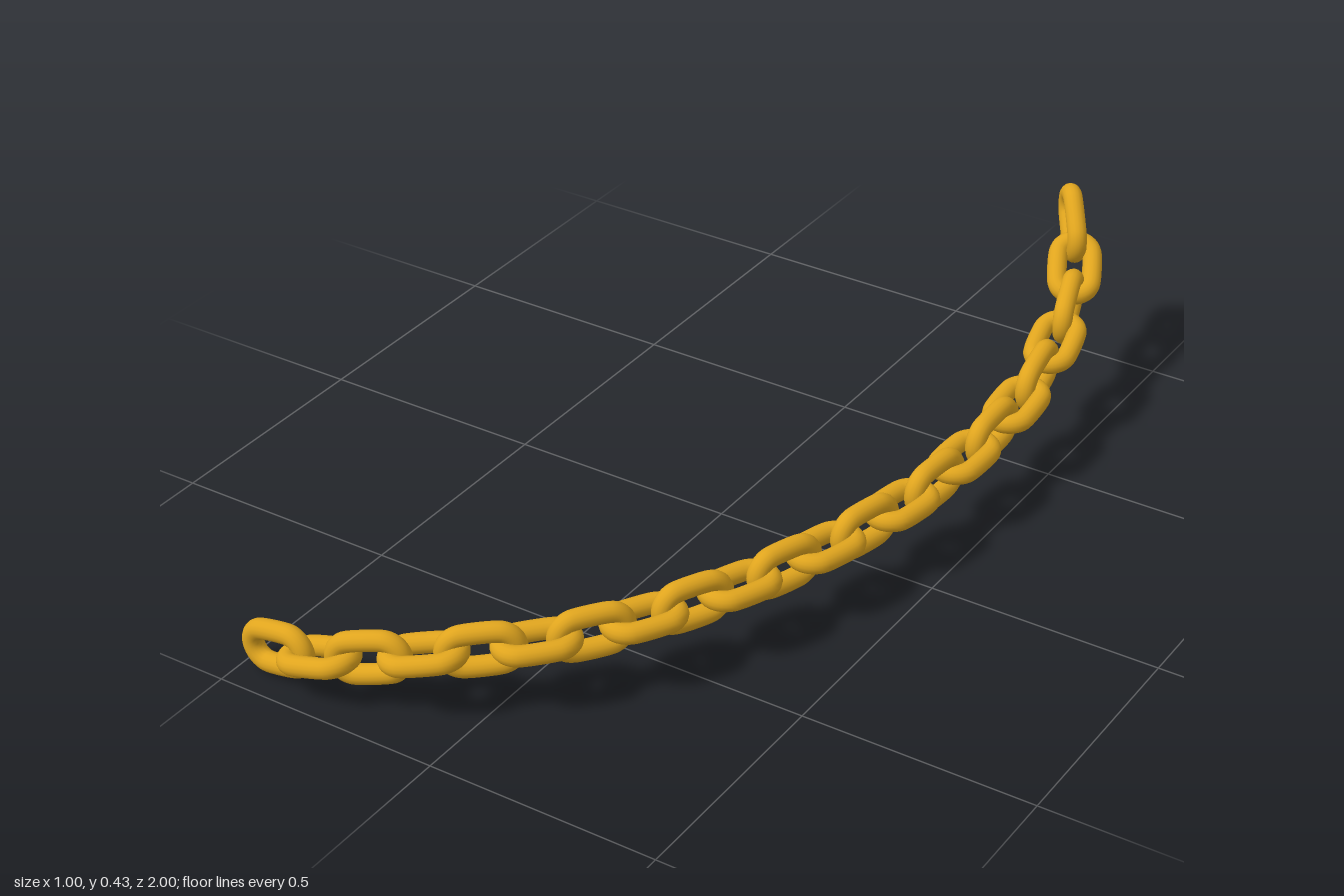
import * as THREE from 'three';

// Centres of the links along the hanging chain, with a guide point at each end
const PATH = [
  [0.255, 0.425, -0.995],
  [0.312, 0.353, -0.932], [0.357, 0.288, -0.862], [0.392, 0.247, -0.77], [0.415, 0.216, -0.668],
  [0.43, 0.192, -0.562], [0.437, 0.176, -0.458], [0.437, 0.165, -0.353], [0.43, 0.157, -0.248],
  [0.421, 0.152, -0.14], [0.405, 0.15, -0.033], [0.383, 0.15, 0.073], [0.355, 0.15, 0.178],
  [0.324, 0.152, 0.28], [0.285, 0.153, 0.382], [0.242, 0.155, 0.48], [0.192, 0.155, 0.573],
  [0.134, 0.154, 0.662], [0.064, 0.152, 0.742], [-0.014, 0.147, 0.812], [-0.105, 0.136, 0.87],
  [-0.203, 0.116, 0.912], [-0.306, 0.09, 0.934], [-0.411, 0.067, 0.929],
  [-0.514, 0.043, 0.92],
].map(p => new THREE.Vector3(...p));

const WIRE = 0.0212;   // wire radius
const BEND = 0.0368;   // radius of the rounded ends
const HALF = 0.0315;   // half length of the straight sides

// Stadium-shaped link: long axis x, short axis y
function linkGeometry() {
  const pts = [];
  for (const side of [1, -1]) {
    for (let i = 0; i <= 8; i++) {
      const a = -Math.PI / 2 + (i / 8) * Math.PI;
      pts.push(new THREE.Vector3(side * (HALF + BEND * Math.cos(a)), side * BEND * Math.sin(a), 0));
    }
  }
  const curve = new THREE.CatmullRomCurve3(pts, true, 'centripetal');
  return new THREE.TubeGeometry(curve, 64, WIRE, 16, true);
}

export function createModel() {
  const chain = new THREE.Group();
  chain.name = 'chain';
  const geometry = linkGeometry();
  const gold = new THREE.MeshStandardMaterial({ color: 0xe0a51e });
  const up = new THREE.Vector3(0, 1, 0);

  // Links alternate between standing upright and lying flat
  for (let i = 1; i < PATH.length - 1; i++) {
    const along = PATH[i + 1].clone().sub(PATH[i - 1]).normalize();
    const flat = new THREE.Vector3().crossVectors(along, up).normalize();
    const rise = new THREE.Vector3().crossVectors(flat, along);
    const upright = i % 2 === 1;
    const basis = upright
      ? new THREE.Matrix4().makeBasis(along, rise, flat.clone())
      : new THREE.Matrix4().makeBasis(along, flat, rise.clone().negate());
    const link = new THREE.Mesh(geometry, gold);
    link.name = (upright ? 'uprightLink' : 'flatLink') + i;
    link.quaternion.setFromRotationMatrix(basis);
    link.position.copy(PATH[i]);
    chain.add(link);
  }
  return chain;
}
